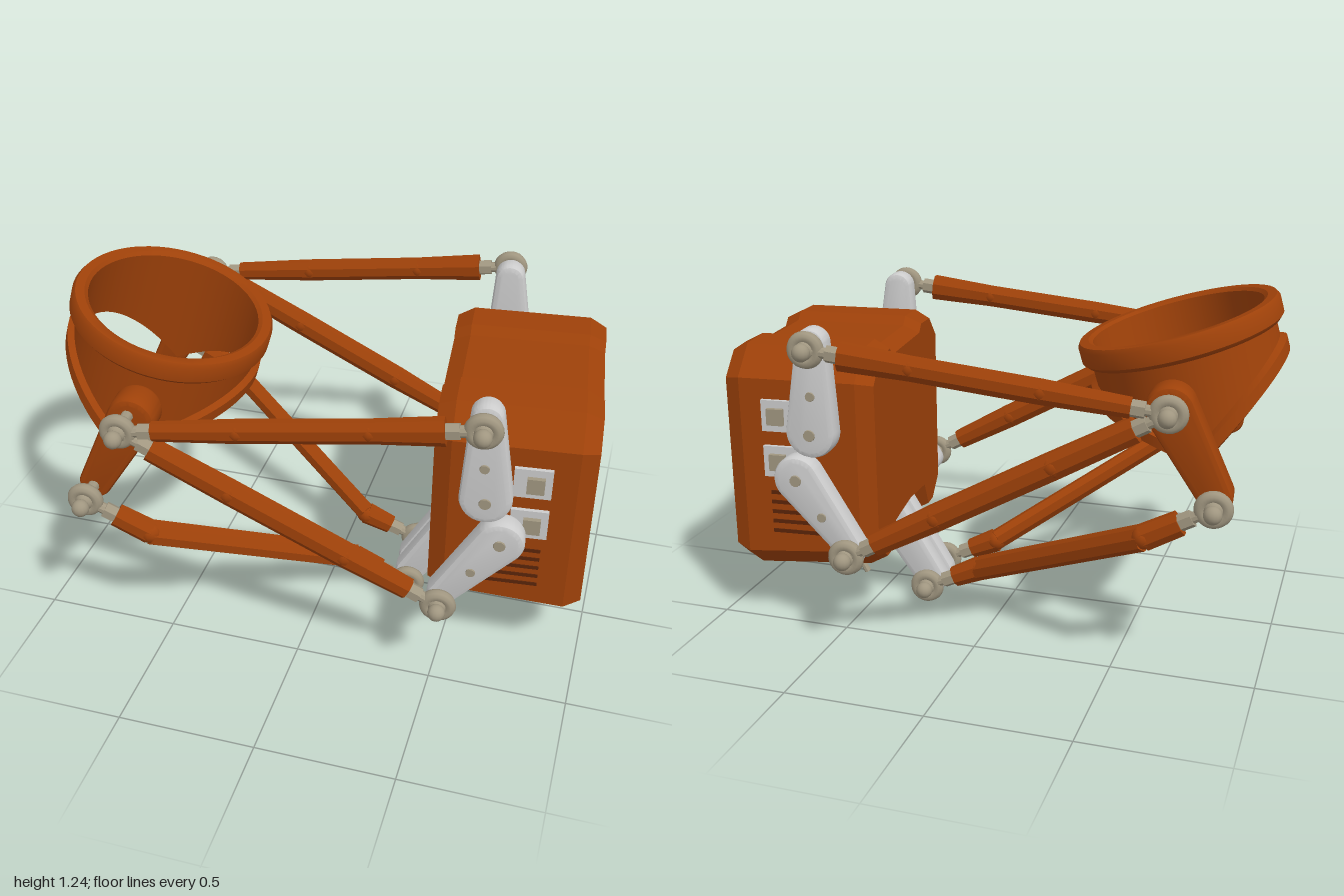
import * as THREE from 'three';
import { toCreasedNormals } from 'three/addons/utils/BufferGeometryUtils.js';

const orange = new THREE.MeshStandardMaterial({ color: 0x9e4109 });
const orangeOpen = new THREE.MeshStandardMaterial({ color: 0x9e4109, side: THREE.DoubleSide });
const grey = new THREE.MeshStandardMaterial({ color: 0xcccccc });
const steel = new THREE.MeshStandardMaterial({ color: 0xa09680 });
const dark = new THREE.MeshStandardMaterial({ color: 0x5a2408 });
const V = (x, y, z) => new THREE.Vector3(x, y, z);

export function createModel() {
  const root = new THREE.Group();
  root.name = 'sixArmPlatform';
  root.position.z = -0.03;
  root.rotation.y = 0.093;

  function add(name, geometry, material, x = 0, y = 0, z = 0) {
    const mesh = new THREE.Mesh(geometry, material);
    mesh.name = name;
    mesh.position.set(x, y, z);
    root.add(mesh);
    return mesh;
  }

  // Cylinder between two points, optionally flattened sideways
  function bar(name, a, b, r1, r2, sides, material, flat = 1) {
    const d = b.clone().sub(a);
    const g = new THREE.CylinderGeometry(r2, r1, d.length(), sides);
    g.rotateY(Math.PI / sides);
    g.scale(1, 1, flat);
    const mesh = add(name, toCreasedNormals(g, 0.6), material);
    mesh.position.copy(a).addScaledVector(d, 0.5);
    mesh.quaternion.setFromUnitVectors(V(0, 1, 0), d.normalize());
  }

  // Bevelled plate wrapped around two circles in the x-y plane
  function plate(name, p, r1, q, r2, z, depth, material) {
    const dx = q[0] - p[0], dy = q[1] - p[1];
    const phi = Math.atan2(dy, dx), a = Math.acos((r1 - r2) / Math.hypot(dx, dy));
    const shape = new THREE.Shape();
    shape.absarc(p[0], p[1], r1, phi + a, phi - a + Math.PI * 2, false);
    shape.absarc(q[0], q[1], r2, phi - a, phi + a, false);
    const bevel = 0.02;
    const g = new THREE.ExtrudeGeometry(shape, {
      depth: depth - 2 * bevel, bevelThickness: bevel, bevelSize: bevel,
      bevelOffset: -bevel, bevelSegments: 2, curveSegments: 14
    });
    add(name, toCreasedNormals(g, 0.7), material, 0, 0, z - depth / 2 + bevel);
  }

  // Ball joint: eye ring, ball, and a pin running outward to a knob
  function joint(p, s, inner, reach) {
    add('jointEye', new THREE.TorusGeometry(0.043, 0.022, 10, 24), steel, p.x, p.y, p.z);
    add('jointBall', new THREE.SphereGeometry(0.036, 16, 12), steel, p.x, p.y, p.z);
    bar('jointPin', V(p.x, p.y, s * inner), V(p.x, p.y, p.z + s * reach), 0.021, 0.021, 12, steel);
    add('jointKnob', new THREE.SphereGeometry(0.031, 14, 10), steel, p.x, p.y, p.z + s * reach);
  }

  // Control rod through several points, with threaded stems at both ends
  function rod(points, r0, rm, r1) {
    const n = points.length - 1;
    const ends = [points[0], points[n]];
    const near = [points[1], points[n - 1]];
    const cut = ends.map((e, i) =>
      e.clone().addScaledVector(near[i].clone().sub(e).normalize(), 0.12));
    ends.forEach((e, i) => {
      bar('rodStem', e, cut[i], 0.02, 0.02, 10, steel);
      bar('rodNut', e.clone().lerp(cut[i], 0.62), cut[i], 0.03, 0.03, 6, steel);
    });
    const path = [cut[0], ...points.slice(1, n), cut[1]];
    if (n === 1) path.splice(1, 0, cut[0].clone().lerp(cut[1], 0.3), cut[0].clone().lerp(cut[1], 0.75));
    const radii = [r0, rm, rm, r1];
    for (let i = 0; i < 3; i++) bar('rod', path[i], path[i + 1], radii[i], radii[i + 1], 8, orange, 0.8);
    for (let i = 1; i < 3; i++)
      add('rodBend', new THREE.SphereGeometry(rm * 0.85, 12, 8), orange, path[i].x, path[i].y, path[i].z);
  }

  // Base housing: chamfered outline with a notch below, extruded along x
  const half = [[0, 1.025], [0.16, 1.025], [0.19, 1.055], [0.33, 1.05], [0.43, 0.95],
    [0.43, 0.29], [0.32, 0.2], [0.225, 0.2], [0.175, 0.33], [0, 0.345]];
  const outline = [...half, ...half.slice(1, -1).reverse().map(([z, y]) => [-z, y])];
  const bodyShape = new THREE.Shape(outline.map(([z, y]) => new THREE.Vector2(z, y)));
  const body = new THREE.ExtrudeGeometry(bodyShape, {
    depth: 0.43, bevelThickness: 0.06, bevelSize: 0.03, bevelOffset: -0.03, bevelSegments: 1
  });
  body.rotateY(Math.PI / 2);
  body.translate(0.47, 0, 0);
  const bp = body.attributes.position;
  for (let i = 0; i < bp.count; i++)
    if (bp.getX(i) < 0.5 && bp.getY(i) < 0.32) bp.setY(i, bp.getY(i) + 0.03);
  add('housing', toCreasedNormals(body, 0.3), orange);
  for (const y of [0.43, 0.83]) for (const z of [-0.28, 0.28])
    bar('screw', V(0.955, y, z), V(0.966, y, z), 0.02, 0.02, 12, steel);
  bar('cableHook', V(0.57, 0.24, -0.22), V(0.52, 0.15, -0.22), 0.012, 0.012, 8, steel);

  // Tilted ring: rim, recessed neck, and a lip that dips on both sides
  const profile = [[0.335, -0.01], [0.35, 0], [0.385, 0], [0.395, -0.015], [0.395, -0.07], [0.38, -0.085],
    [0.36, -0.09], [0.36, -0.15], [0.385, -0.16], [0.385, -0.205], [0.37, -0.215], [0.335, -0.215],
    [0.335, -0.15], [0.335, -0.09], [0.335, -0.01]];
  const ring = new THREE.LatheGeometry(profile.map(([r, y]) => new THREE.Vector2(r, y)), 64);
  const rp = ring.attributes.position;
  for (let i = 0; i < rp.count; i++) {
    const x = rp.getX(i), y = rp.getY(i), z = rp.getZ(i);
    const dip = 0.24 * (1 - Math.abs(x) / Math.hypot(x, z));
    if (y < -0.12) rp.setY(i, y - dip);
    rp.setX(i, x * 0.93);
  }
  const ringMesh = add('ring', toCreasedNormals(ring, 0.6), orangeOpen, -0.595, 1.145, 0.01);
  ringMesh.rotation.z = -0.285;

  for (const s of [1, -1]) {
    // Swinging arms on the housing sides and under the notch
    plate('upperArm', [0.6, 0.795], 0.09, [0.585, 1.11], 0.055, s * 0.5, 0.085, grey);
    plate('lowerArm', [0.66, 0.62], 0.085, [0.47, 0.365], 0.05, s * 0.5, 0.085, grey);
    plate('middleArm', [0.54, 0.43], 0.075, [0.31, 0.07], 0.058, s * 0.046, 0.078, grey);
    for (const [x, y] of [[0.6, 0.79], [0.66, 0.62]]) {
      bar('armHub', V(x, y, s * 0.4), V(x, y, s * 0.47), 0.05, 0.05, 16, grey);
      bar('armScrew', V(x, y, s * 0.53), V(x, y, s * 0.548), 0.024, 0.02, 12, steel);
    }
    for (const [x, y] of [[0.59, 0.93], [0.57, 0.49]])
      bar('armScrew', V(x, y, s * 0.53), V(x, y, s * 0.548), 0.02, 0.016, 12, steel);
    for (const y of [0.65, 0.82]) {
      add('motorFrame', new THREE.BoxGeometry(0.13, 0.115, 0.03), grey, 0.75, y, s * 0.43);
      add('motorFace', new THREE.BoxGeometry(0.06, 0.06, 0.05), steel, 0.76, y, s * 0.437);
    }
    for (let i = 0; i < 5; i++)
      add('vent', new THREE.BoxGeometry(0.2, 0.014, 0.01), dark, 0.7, 0.38 + i * 0.037, s * 0.428);

    // Posts carrying two joints on each side of the ring
    plate('ringPost', [-0.625, 0.94], 0.085, [-0.785, 0.65], 0.058, s * 0.445, 0.12, orange);

    // Joints
    const a = V(-0.63, 0.965, s * 0.602), b = V(-0.785, 0.65, s * 0.588);
    const u = V(0.58, 1.105, s * 0.585), l = V(0.468, 0.37, s * 0.592), m = V(0.31, 0.072, s * 0.138);
    joint(a, s, 0.45, 0.052);
    joint(b, s, 0.45, 0.052);
    joint(u, s, 0.5, 0.042);
    joint(l, s, 0.5, 0.042);
    joint(m, s, 0.05, 0.046);

    // Two straight rods and one bent rod per side
    rod([a, u], 0.036, 0.044, 0.052);
    rod([a, l], 0.046, 0.05, 0.042);
    rod([b, V(-0.56, 0.53, s * 0.578), V(0.1, 0.165, s * 0.14), m], 0.045, 0.048, 0.04);
  }
  return root;
}
